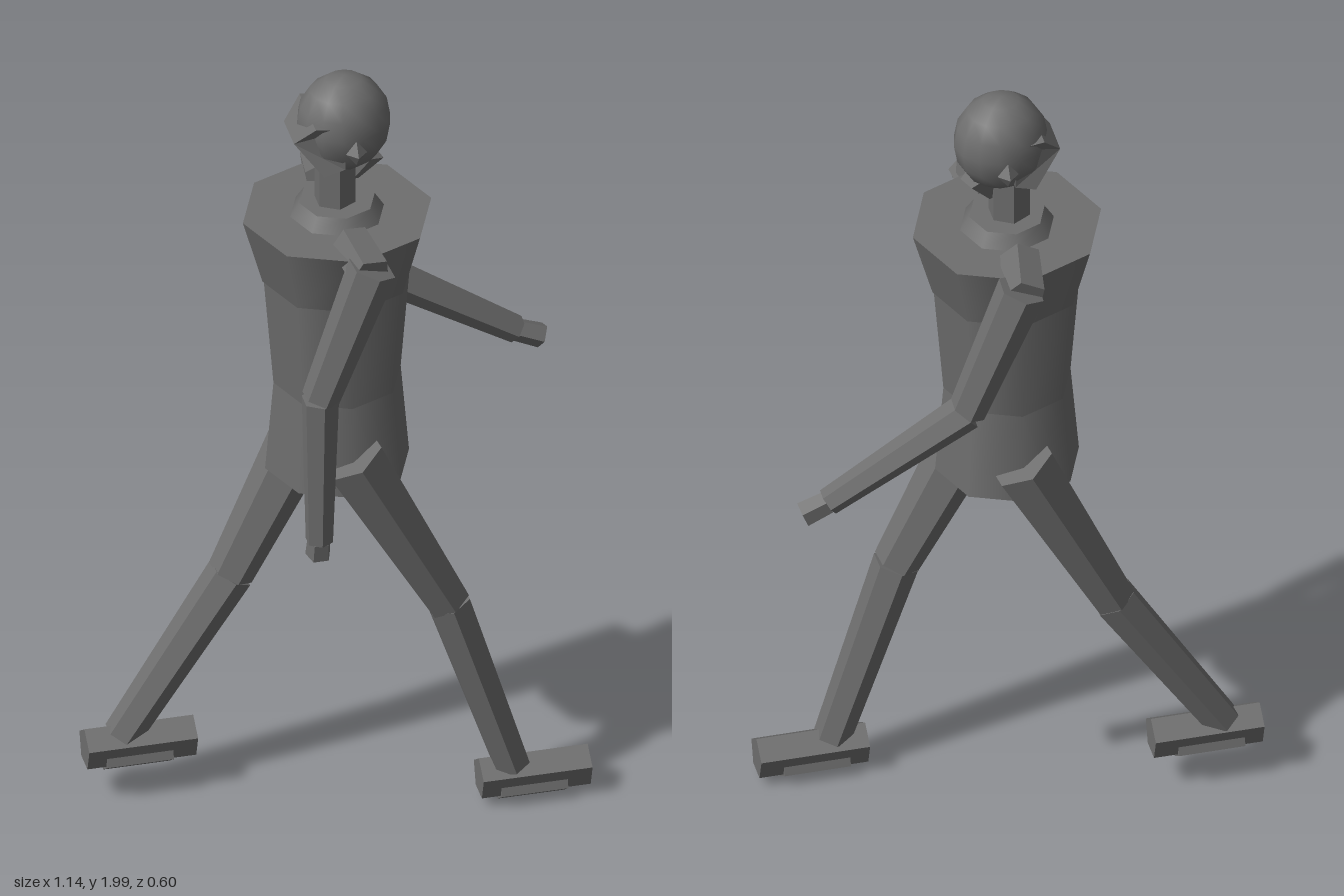
import * as THREE from 'three';

export function createModel() {
  const model = new THREE.Group();
  const grey = new THREE.MeshStandardMaterial({ color: 0x6e6e6e });
  grey.name = 'slate grey';
  const facetGrey = grey; // one colour for the whole figure

  function add(name, geometry, parent = model) {
    const mesh = new THREE.Mesh(geometry, facetGrey);
    mesh.name = name;
    parent.add(mesh);
    return mesh;
  }

  // Unshared corners give each face its own flat normal
  function facet(geometry) {
    const flat = geometry.index ? geometry.toNonIndexed() : geometry;
    flat.computeVertexNormals();
    return flat;
  }

  // Tapered faceted limb segment running from point a to point b
  function segment(name, a, b, ra, rb, sides, parent) {
    const start = new THREE.Vector3(...a), end = new THREE.Vector3(...b);
    const axis = end.clone().sub(start);
    const geometry = facet(new THREE.CylinderGeometry(rb, ra, axis.length(), sides));
    const mesh = add(name, geometry, parent);
    mesh.position.copy(start).add(end).multiplyScalar(0.5);
    mesh.quaternion.setFromUnitVectors(new THREE.Vector3(0, 1, 0), axis.normalize());
    return mesh;
  }

  // Stacked eight-sided torso with smooth sides
  const torso = [
    ['collar', 1.66, 0.09, 1.625, 0.112],
    ['chest', 1.625, 0.225, 1.455, 0.178],
    ['waist', 1.455, 0.175, 1.17, 0.152],
    ['hips', 1.17, 0.152, 0.935, 0.172],
  ];
  for (const [name, top, rTop, bottom, rBottom] of torso) {
    add(name, new THREE.CylinderGeometry(rTop, rBottom, top - bottom, 8)).position.y = (top + bottom) / 2;
  }

  // Neck and head, facing +x
  segment('neck', [-0.005, 1.65, 0], [-0.005, 1.78, 0], 0.05, 0.05, 6);
  const head = add('head', new THREE.SphereGeometry(1, 14, 8));
  head.scale.set(0.112, 0.125, 0.098);
  head.position.set(0.015, 1.875, 0);

  // Angular back of the head, narrowing towards its tip
  const nape = new THREE.Shape([
    [-0.115, 1.86], [-0.05, 1.775], [0.0, 1.79], [0.0, 1.9], [-0.07, 1.91],
  ].map(([x, y]) => new THREE.Vector2(x, y)));
  const napeGeometry = new THREE.ExtrudeGeometry(nape, { depth: 0.16, bevelEnabled: false });
  napeGeometry.translate(0, 0, -0.08);
  const corner = napeGeometry.attributes.position;
  for (let i = 0; i < corner.count; i++) {
    if (corner.getX(i) < -0.1) corner.setZ(i, corner.getZ(i) * 0.62);
  }
  add('headBack', facet(napeGeometry));

  // Chin under the face
  segment('chin', [0.035, 1.72, 0], [0.07, 1.785, 0], 0.018, 0.045, 5);

  // Ears
  for (const side of [1, -1]) {
    const ear = add(side > 0 ? 'leftEar' : 'rightEar', new THREE.OctahedronGeometry(0.03));
    ear.scale.set(0.85, 1.1, 0.8);
    ear.position.set(0.022, 1.845, side * 0.1);
  }

  // Striding limbs: joints for the +z and -z sides
  const limbs = [
    { label: 'near', s: 1,
      elbow: [-0.1, 1.275, 0.245], wrist: [-0.1, 0.875, 0.235], hand: [-0.1, 0.83, 0.228],
      knee: [0.235, 0.58, 0.122], ankle: [0.388, 0.1, 0.12], foot: [0.31, 0.075] },
    { label: 'far', s: -1,
      elbow: [0.155, 1.28, -0.237], wrist: [0.485, 1.07, -0.23], hand: [0.545, 1.045, -0.23],
      knee: [-0.225, 0.575, -0.122], ankle: [-0.485, 0.165, -0.12], foot: [-0.575, 0.145] },
  ];
  for (const { label, s, elbow, wrist, hand, knee, ankle, foot } of limbs) {
    // Arm
    const arm = new THREE.Group();
    arm.name = label + 'Arm';
    model.add(arm);
    segment('shoulder', [0.0, 1.625, s * 0.13], [0.02, 1.6, s * 0.25], 0.048, 0.052, 5, arm);
    segment('upperArm', [0.025, 1.615, s * 0.24], elbow, 0.058, 0.045, 6, arm);
    segment('forearm', elbow, wrist, 0.045, 0.033, 6, arm);
    segment('hand', wrist, hand, 0.028, 0.031, 5, arm);

    // Leg
    const leg = new THREE.Group();
    leg.name = label + 'Leg';
    model.add(leg);
    segment('thigh', [0.0, 1.03, s * 0.135], knee, 0.08, 0.055, 6, leg);
    segment('shin', knee, ankle, 0.055, 0.045, 6, leg);

    // Five-sided foot with its ridge up, and a shorter sole with its ridge down
    for (const [name, x, length, y, r, turn] of [
      ['foot', foot[0], 0.26, foot[1], 0.051, 0],
      ['sole', foot[0] + 0.045, 0.158, foot[1] - 0.02, 0.048, Math.PI],
    ]) {
      const geometry = new THREE.CylinderGeometry(r, r, length, 5);
      geometry.rotateY(turn - Math.PI / 2); // put a corner on -x, which becomes +y
      geometry.rotateZ(-Math.PI / 2);
      const mesh = add(name, facet(geometry), leg);
      mesh.position.set(x + length / 2, y, s * 0.117);
    }
  }
  return model;
}
